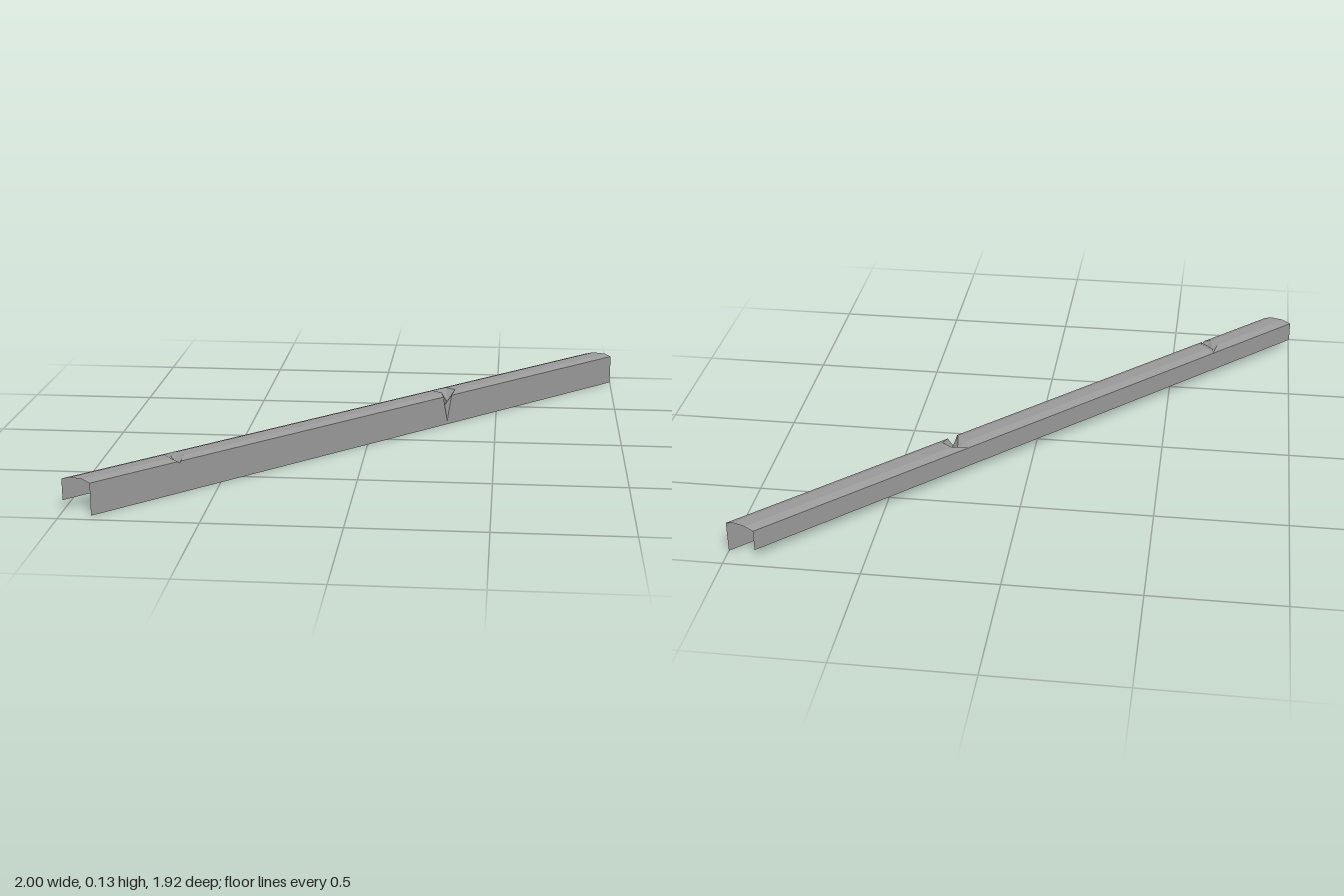
import * as THREE from 'three';

// Cross-section at the left end, from the back lip over the top to the front lip: [x, y, z]
const PROFILE = [
  [-1, 0.04, 0.92], [-1, 0.12, 0.92], [-0.967, 0.13, 0.932],
  [-0.917, 0.13, 0.95], [-0.89, 0.12, 0.96], [-0.89, 0.015, 0.96], [-0.89, 0, 0.96],
];
const RUN = [1.89, -1.88]; // sweep of the profile along x and z

// Each crack, per profile point: [left lip x, valley x, right lip x, drop, inset]
const CRACKS = [
  [
    [-0.68, -0.68, -0.68, 0, 0], [-0.68, -0.675, -0.67, 0, 0], [-0.69, -0.67, -0.65, 0.012, 0],
    [-0.66, -0.645, -0.62, 0.018, 0], [-0.63, -0.626, -0.622, 0.008, 0],
    [-0.626, -0.626, -0.626, 0, 0], [-0.626, -0.626, -0.626, 0, 0],
  ],
  [
    [0.22, 0.22, 0.22, 0, 0], [0.22, 0.22, 0.22, 0, 0], [0.24, 0.27, 0.29, 0.02, 0],
    [0.278, 0.3, 0.33, 0.045, 0], [0.286, 0.302, 0.318, 0.045, 0.02],
    [0.302, 0.302, 0.302, 0, 0], [0.302, 0.302, 0.302, 0, 0],
  ],
];

// Point on a profile rail at a given x, optionally sunk and pushed inward
function railPoint(i, x, drop = 0, inset = 0) {
  const [px, py, pz] = PROFILE[i];
  const z = pz + ((x - px) / RUN[0]) * RUN[1];
  return new THREE.Vector3(x - inset * 0.7, py - drop, z - inset * 0.7);
}

// Flat-faced skin between successive cross-sections
function skin(columns) {
  const pos = [];
  const tri = (a, b, c) => {
    const n = b.clone().sub(a).cross(c.clone().sub(a));
    if (n.length() > 1e-8) pos.push(...a.toArray(), ...b.toArray(), ...c.toArray());
  };
  for (let j = 0; j + 1 < columns.length; j++) {
    const [p, q] = [columns[j], columns[j + 1]];
    for (let i = 0; i + 1 < p.length; i++) {
      tri(p[i], p[i + 1], q[i]);
      tri(p[i + 1], q[i + 1], q[i]);
    }
  }
  const g = new THREE.BufferGeometry();
  g.setAttribute('position', new THREE.Float32BufferAttribute(pos, 3));
  g.computeVertexNormals();
  return g;
}

export function createModel() {
  const group = new THREE.Group();
  group.name = 'crackedRail';
  const metal = new THREE.MeshStandardMaterial({ color: 0x999999, flatShading: true, side: THREE.DoubleSide });
  metal.name = 'grey metal';
  const add = (name, columns) => {
    const mesh = new THREE.Mesh(skin(columns), metal);
    mesh.name = name;
    group.add(mesh);
  };

  // Straight cover sections, broken by the sunken cracks
  let start = PROFILE.map((p, i) => railPoint(i, p[0]));
  CRACKS.forEach((crack, k) => {
    const left = crack.map((c, i) => railPoint(i, c[0]));
    const valley = crack.map((c, i) => railPoint(i, c[1], c[3], c[4]));
    const right = crack.map((c, i) => railPoint(i, c[2]));
    add(`coverSection${k + 1}`, [start, left]);
    add(`crack${k + 1}`, [left, valley, right]);
    start = right;
  });
  add('coverSection3', [start, PROFILE.map((p, i) => railPoint(i, p[0] + RUN[0]))]);
  return group;
}
